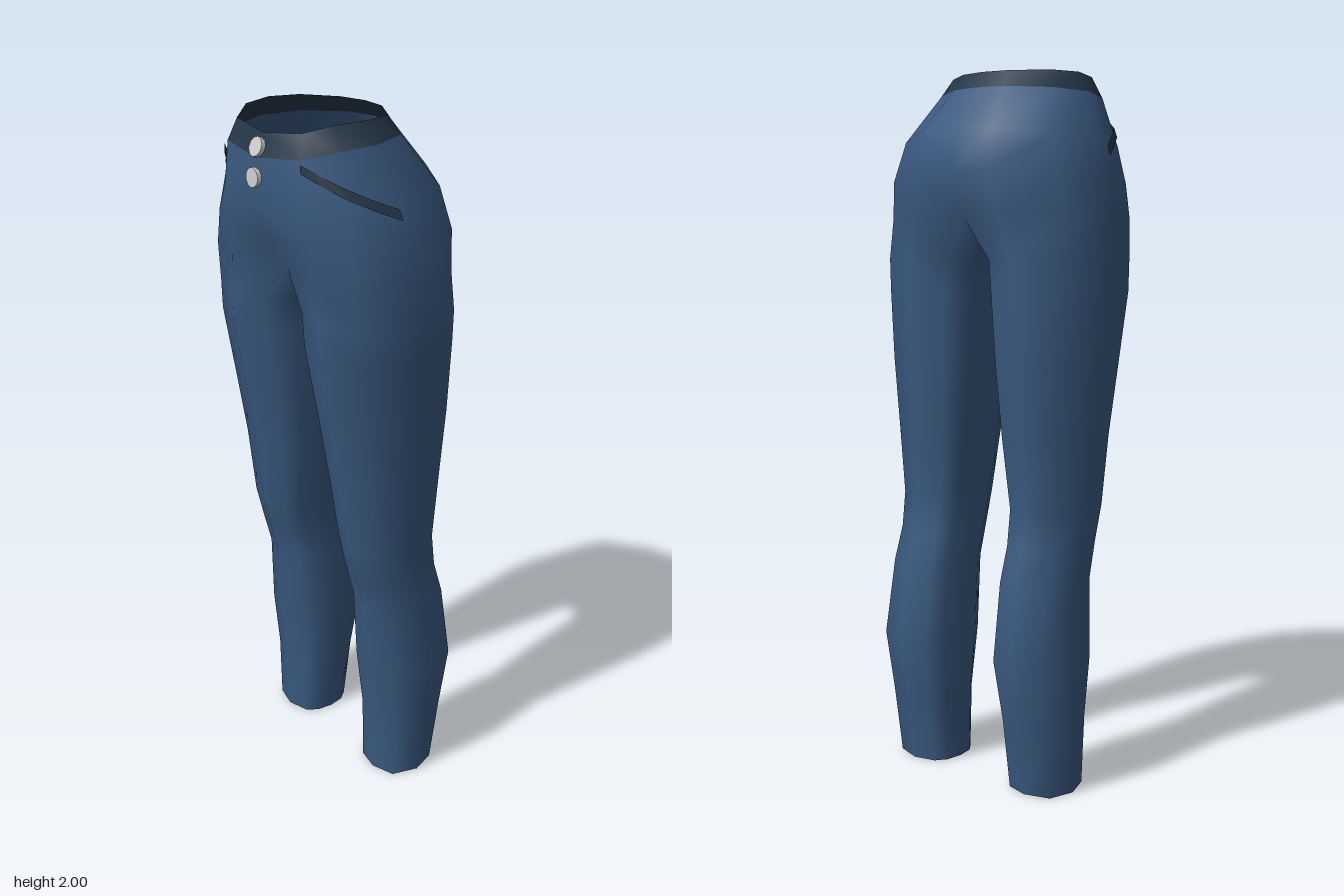
import * as THREE from 'three';
import { mergeVertices } from 'three/addons/utils/BufferGeometryUtils.js';

const denim = new THREE.MeshStandardMaterial({ color: 0x3a5980, side: THREE.DoubleSide });
const darkDenim = new THREE.MeshStandardMaterial({ color: 0x243546, side: THREE.DoubleSide });
const metal = new THREE.MeshStandardMaterial({ color: 0xcccccc });

// Half rows [x, y, z] on the +x side, from front centre around the hip to back centre
const bandTop = [[0, 1.96, 0.222], [0.135, 1.975, 0.205], [0.185, 1.995, 0.14], [0.207, 2, 0.05],
  [0.18, 2, -0.035], [0.085, 2, -0.1], [0, 2, -0.115]];
const bandBottom = [[0, 1.9, 0.248], [0.155, 1.915, 0.223], [0.215, 1.935, 0.15], [0.243, 1.945, 0.05],
  [0.205, 1.95, -0.06], [0.09, 1.955, -0.135], [0, 1.955, -0.15]];
const hips = [
  bandBottom,
  [[0, 1.78, 0.255], [0.17, 1.8, 0.226], [0.262, 1.8, 0.16], [0.308, 1.8, 0.03],
    [0.27, 1.82, -0.14], [0.125, 1.84, -0.222], [0, 1.84, -0.21]],
  [[0, 1.69, 0.225], [0.175, 1.7, 0.215], [0.285, 1.7, 0.168], [0.335, 1.7, 0.02],
    [0.3, 1.71, -0.16], [0.13, 1.73, -0.255], [0, 1.73, -0.238]],
  [[0, 1.59, 0.15], [0.175, 1.6, 0.205], [0.3, 1.6, 0.168], [0.348, 1.6, 0.01],
    [0.315, 1.6, -0.15], [0.15, 1.61, -0.238], [0, 1.6, -0.19]],
];
// Seam under the body, back to front; it closes the last hip row into a leg ring
const crotch = [[0, 1.53, -0.11], [0, 1.51, 0], [0, 1.525, 0.09]];

// Leg sections: y, inner x, outer x, front z, back z
const legSections = [
  [1.49, 0.025, 0.354, 0.2, -0.217], [1.4, 0.033, 0.352, 0.197, -0.215], [1.2, 0.05, 0.34, 0.16, -0.207],
  [1.0, 0.07, 0.325, 0.125, -0.192], [0.8, 0.096, 0.312, 0.1, -0.177], [0.7, 0.1, 0.307, 0.075, -0.192],
  [0.6, 0.098, 0.312, 0.045, -0.222], [0.38, 0.092, 0.33, 0.03, -0.25], [0.2, 0.105, 0.322, 0.007, -0.215],
  [0, 0.115, 0.31, 0.005, -0.19],
];
const legAngles = [-38, 0, 42, 90, 135, 180, 218, 245, 270, 295];

function legRing([y, xi, xo, zf, zb]) {
  const soften = (v) => Math.sign(v) * Math.abs(v) ** 0.8;
  return legAngles.map((deg) => {
    const a = THREE.MathUtils.degToRad(deg);
    return [(xi + xo) / 2 + (xo - xi) / 2 * soften(Math.sin(a)), y,
      (zf + zb) / 2 + (zf - zb) / 2 * soften(Math.cos(a))];
  });
}

// Skins neighbouring rows with quads; mirrored copies flip the winding
function skin(out, rows, closed, side) {
  for (let r = 0; r < rows.length - 1; r++) {
    const a = rows[r], b = rows[r + 1];
    const n = closed ? a.length : a.length - 1;
    for (let i = 0; i < n; i++) {
      const j = (i + 1) % a.length;
      const quad = [a[i], b[i], b[j], a[i], b[j], a[j]];
      if (side < 0) quad.reverse();
      for (const [x, y, z] of quad) out.push(x * side, y, z);
    }
  }
}

function surface(name, positions, material) {
  let geometry = new THREE.BufferGeometry();
  geometry.setAttribute('position', new THREE.Float32BufferAttribute(positions, 3));
  geometry = mergeVertices(geometry, 1e-4);
  geometry.computeVertexNormals();
  const mesh = new THREE.Mesh(geometry, material);
  mesh.name = name;
  return mesh;
}

// Point on the upper hip at fractional column u and depth v below the band, lifted outward
function hipPoint(u, v) {
  const i = Math.min(Math.floor(u), 5), f = u - i;
  const at = (row) => new THREE.Vector3(...row[i]).lerp(new THREE.Vector3(...row[i + 1]), f);
  const p = at(hips[0]).lerp(at(hips[1]), v);
  const out = new THREE.Vector3(p.x, 0, p.z).normalize().multiplyScalar(0.007);
  return p.add(out).toArray();
}

export function createModel() {
  const group = new THREE.Group();
  group.name = 'trousers';

  // Hips and legs as one smooth skin
  const body = [];
  const legRows = [[...hips[hips.length - 1], ...crotch], ...legSections.map(legRing)];
  for (const side of [1, -1]) {
    skin(body, hips, false, side);
    skin(body, legRows, true, side);
  }
  group.add(surface('hipsAndLegs', body, denim));

  // Waistband
  const band = [];
  for (const side of [1, -1]) skin(band, [bandTop, bandBottom], false, side);
  group.add(surface('waistband', band, darkDenim));

  // Slanted pocket edges
  const path = [[1, 0.08], [1.5, 0.37], [2, 0.6], [2.5, 0.84], [2.95, 1.03]];
  for (const side of [1, -1]) {
    const strip = [];
    const upper = path.map(([u, v]) => hipPoint(u, v));
    const lower = path.map(([u, v]) => hipPoint(u, v + 0.19));
    skin(strip, [upper, lower], false, side);
    group.add(surface(side > 0 ? 'leftPocket' : 'rightPocket', strip, darkDenim));
  }

  // Front buttons
  const buttonShape = new THREE.CylinderGeometry(0.026, 0.026, 0.014, 10);
  buttonShape.rotateX(Math.PI / 2);
  [[1.925, 0.24, -0.35], [1.85, 0.253, -0.06]].forEach(([y, z, tilt], i) => {
    const button = new THREE.Mesh(buttonShape, metal);
    button.name = i ? 'lowerButton' : 'upperButton';
    button.position.set(0, y, z);
    button.rotation.x = tilt;
    group.add(button);
  });
  return group;
}
